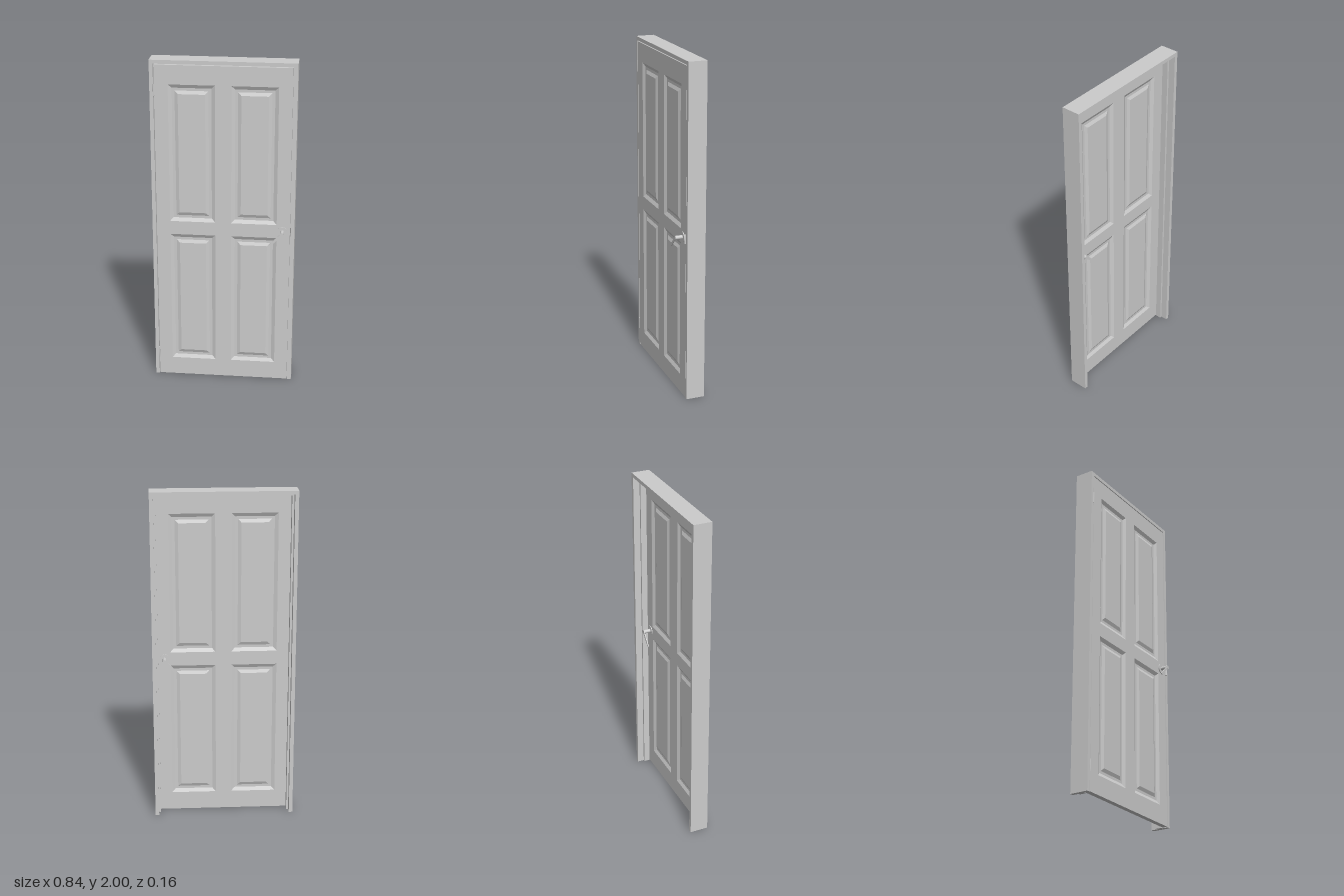
import * as THREE from 'three';

const material = new THREE.MeshStandardMaterial({ color: 0xcccccc, flatShading: true });
const smooth = new THREE.MeshStandardMaterial({ color: 0xcccccc });

// Door leaf faces and the four panel openings [x0, y0, x1, y1]
const FRONT = 0.029, BACK = -0.002;
const PANELS = [];
for (const [x0, x1] of [[-0.315, -0.047], [0.047, 0.315]])
  for (const [y0, y1] of [[0.115, 0.945], [1.028, 1.86]]) PANELS.push([x0, y0, x1, y1]);

function add(parent, name, geometry, x = 0, y = 0, z = 0, mat = material) {
  const mesh = new THREE.Mesh(geometry, mat);
  mesh.name = name;
  mesh.position.set(x, y, z);
  parent.add(mesh);
  return mesh;
}

const polygon = (points, Type = THREE.Shape) => new Type(points.map(p => new THREE.Vector2(...p)));
const rect = (x0, y0, x1, y1) => [[x0, y0], [x1, y0], [x1, y1], [x0, y1]];
const extrude = (shape, depth) => new THREE.ExtrudeGeometry(shape, { depth, bevelEnabled: false });

// Arch of two posts and a head, open at the floor
function archGeometry(halfOut, topOut, halfIn, topIn, depth) {
  return extrude(polygon([
    [halfOut, 0], [halfOut, topOut], [-halfOut, topOut], [-halfOut, 0],
    [-halfIn, 0], [-halfIn, topIn], [halfIn, topIn], [halfIn, 0],
  ]), depth);
}

// Raised panel: nested rectangles stepping in and down, then up to the field
function panelGeometry(width, height) {
  const steps = [[0, 0], [0.021, -0.011], [0.037, -0.011], [0.056, -0.003]];
  const rings = steps.map(([inset, z]) =>
    rect(inset - width / 2, inset - height / 2, width / 2 - inset, height / 2 - inset).map(p => [...p, z]));
  const positions = [];
  const quad = (a, b, c, d) => positions.push(...a, ...b, ...c, ...a, ...c, ...d);
  for (let r = 0; r < rings.length - 1; r++)
    for (let i = 0; i < 4; i++) {
      const j = (i + 1) % 4;
      quad(rings[r][i], rings[r][j], rings[r + 1][j], rings[r + 1][i]);
    }
  quad(...rings[rings.length - 1]);
  const geometry = new THREE.BufferGeometry();
  geometry.setAttribute('position', new THREE.Float32BufferAttribute(positions, 3));
  geometry.computeVertexNormals();
  return geometry;
}

// Lever handle; side is +1 on the front and -1 on the back
function makeHandle(side) {
  const handle = new THREE.Group();
  handle.name = side > 0 ? 'frontHandle' : 'backHandle';
  handle.position.set(0.348, 0.987, side > 0 ? FRONT : BACK);
  const disc = (name, r, z0, z1) => {
    const geometry = new THREE.CylinderGeometry(r, r, z1 - z0, 24).rotateX(Math.PI / 2);
    add(handle, name, geometry, 0, 0, side * (z0 + z1) / 2, smooth);
  };
  disc('rose', 0.03, 0, 0.005);
  disc('spindle', 0.0115, 0.005, 0.049);
  // Flat lever sloping down towards the middle of the door
  const lever = extrude(polygon([[0, -0.008], [0.1, -0.006], [0.094, 0.006], [0, 0.008]]), 0.005);
  lever.rotateZ(Math.PI * 1.25);
  add(handle, 'lever', lever, 0, 0, side > 0 ? 0.0435 : -0.0485);
  return handle;
}

export function createModel() {
  const door = new THREE.Group();
  door.name = 'door';

  // Frame with an inner stop behind the leaf
  const frame = new THREE.Group();
  frame.name = 'frame';
  add(frame, 'jamb', archGeometry(0.42, 2, 0.398, 1.978, 0.11), 0, 0, -0.08);
  add(frame, 'stop', archGeometry(0.398, 1.978, 0.386, 1.966, 0.036), 0, 0, -0.04);
  door.add(frame);

  // Leaf pierced by the panel openings
  const leaf = new THREE.Group();
  leaf.name = 'leaf';
  const outline = polygon(rect(-0.394, 0.003, 0.393, 1.973));
  outline.holes = PANELS.map(p => polygon(rect(...p), THREE.Path));
  add(leaf, 'stilesAndRails', extrude(outline, FRONT - BACK), 0, 0, BACK);
  for (const [x0, y0, x1, y1] of PANELS) {
    const geometry = panelGeometry(x1 - x0, y1 - y0);
    const x = (x0 + x1) / 2, y = (y0 + y1) / 2;
    add(leaf, 'frontPanel', geometry, x, y, FRONT);
    add(leaf, 'backPanel', geometry, x, y, BACK).rotation.y = Math.PI;
  }
  leaf.add(makeHandle(1), makeHandle(-1));
  door.add(leaf);

  // Hinge knuckles on the right edge
  for (const y of [0.15, 1.825])
    add(door, 'hinge', new THREE.CylinderGeometry(0.004, 0.004, 0.07, 12), -0.396, y, 0.03, smooth);

  // Curved lip of the strike plate beside the handle
  const lip = extrude(polygon([[0.394, 0.025], [0.397, 0.025], [0.398, 0.034], [0.401, 0.04],
    [0.399, 0.04], [0.395, 0.034]]), 0.055);
  lip.rotateX(Math.PI / 2).scale(1, 1, 1);
  add(door, 'strikePlate', lip, 0, 1.017, 0);

  return door;
}
